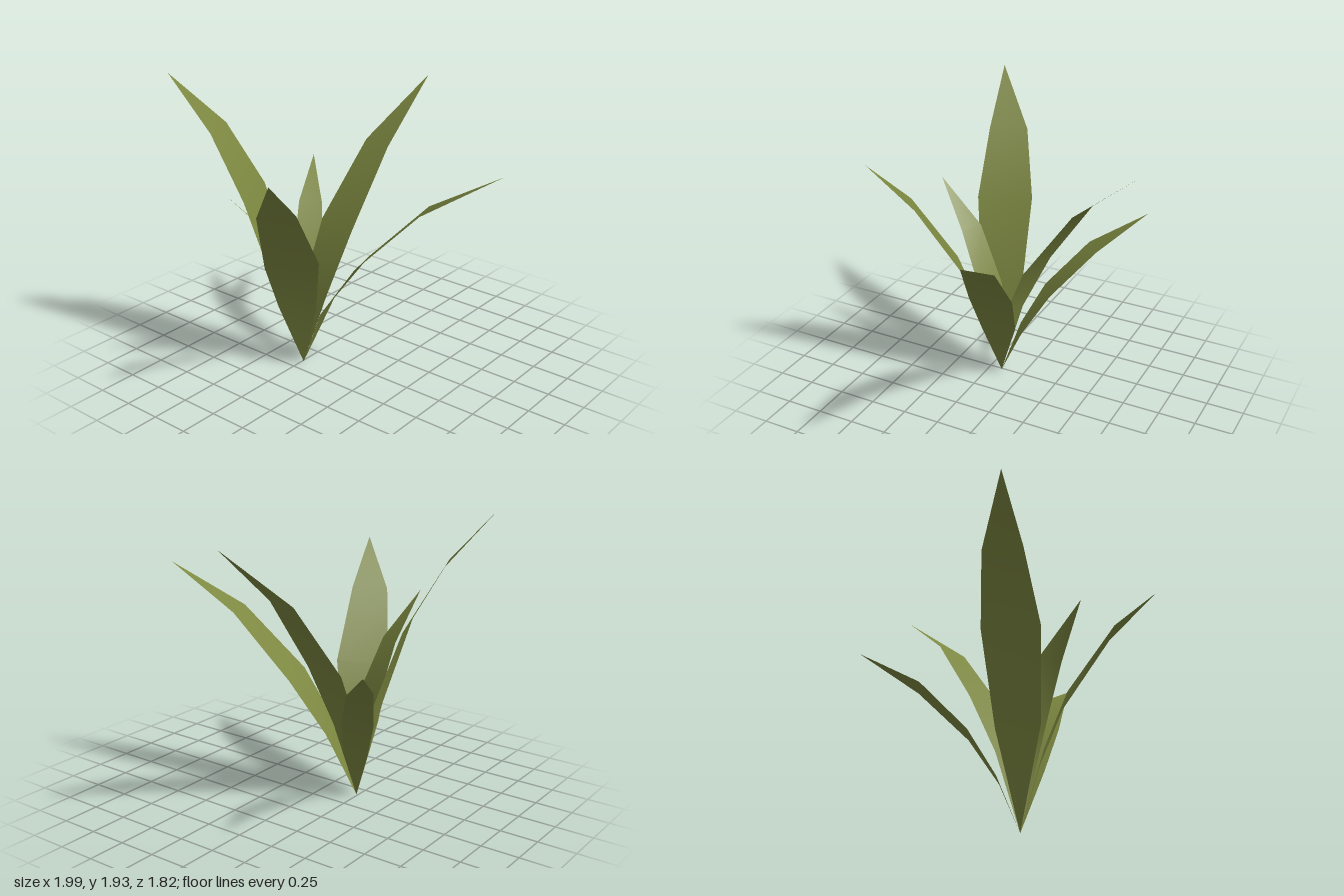
import * as THREE from 'three';

const BASE = [-0.24, 0, 0.16];

// Each leaf: three cross-sections [left edge, right edge] from low to high, then the tip
const LEAVES = [
  { name: 'rightArchingLeaf', tip: [0.99, 1.485, -0.23], sections: [
    [[-0.11, 0.45, -0.01], [-0.05, 0.43, 0.21]],
    [[0.115, 0.79, -0.1], [0.195, 0.8, 0.168]],
    [[0.505, 1.2, -0.18], [0.567, 1.205, 0.01]]] },
  { name: 'backTallLeaf', tip: [-0.025, 1.795, -0.91], sections: [
    [[-0.33, 0.5, 0.043], [-0.104, 0.49, 0.085]],
    [[-0.33, 0.92, -0.155], [-0.035, 0.92, -0.1]],
    [[-0.22, 1.41, -0.485], [-0.008, 1.41, -0.44]]] },
  { name: 'backShortLeaf', tip: [-0.815, 1.136, -0.64], sections: [
    [[-0.375, 0.33, 0.08], [-0.24, 0.33, 0.01]],
    [[-0.5, 0.61, -0.045], [-0.33, 0.62, -0.155]],
    [[-0.657, 0.92, -0.294], [-0.535, 0.915, -0.393]]] },
  { name: 'leftTallLeaf', tip: [-1, 1.935, 0.525], sections: [
    [[-0.31, 0.61, 0.35], [-0.39, 0.62, 0.08]],
    [[-0.46, 1.18, 0.45], [-0.595, 1.185, 0.11]],
    [[-0.695, 1.59, 0.48], [-0.79, 1.59, 0.245]]] },
  { name: 'frontShortLeaf', tip: [-0.377, 1.315, 0.68], sections: [
    [[-0.158, 0.35, 0.2], [-0.313, 0.34, 0.15]],
    [[-0.16, 0.65, 0.285], [-0.35, 0.63, 0.215]],
    [[-0.237, 1.02, 0.455], [-0.375, 1.02, 0.385]]] },
  { name: 'frontWideLeaf', tip: [0.184, 1.565, 0.907], sections: [
    [[-0.09, 0.45, 0.2], [-0.278, 0.47, 0.35]],
    [[0.025, 0.848, 0.302], [-0.25, 0.81, 0.5]],
    [[0.11, 1.28, 0.6], [-0.077, 1.262, 0.74]]] },
];

// Blade surface: a strip that starts and ends in a point
function leafGeometry({ sections, tip }) {
  const points = [BASE, ...sections.flat(), tip];
  const last = points.length - 1;
  const index = [0, 2, 1];
  for (let i = 0; i < sections.length - 1; i++) {
    const a = 1 + i * 2;
    index.push(a, a + 1, a + 3, a, a + 3, a + 2);
  }
  index.push(last - 2, last - 1, last);
  const geometry = new THREE.BufferGeometry();
  geometry.setAttribute('position', new THREE.Float32BufferAttribute(points.flat(), 3));
  geometry.setIndex(index);
  geometry.computeVertexNormals();
  return geometry;
}

export function createModel() {
  const plant = new THREE.Group();
  plant.name = 'leafyPlant';
  const leafGreen = new THREE.MeshStandardMaterial({ color: 0x7c8740, side: THREE.DoubleSide });
  leafGreen.name = 'leafGreen';
  for (const leaf of LEAVES) {
    const mesh = new THREE.Mesh(leafGeometry(leaf), leafGreen);
    mesh.name = leaf.name;
    plant.add(mesh);
  }
  return plant;
}
